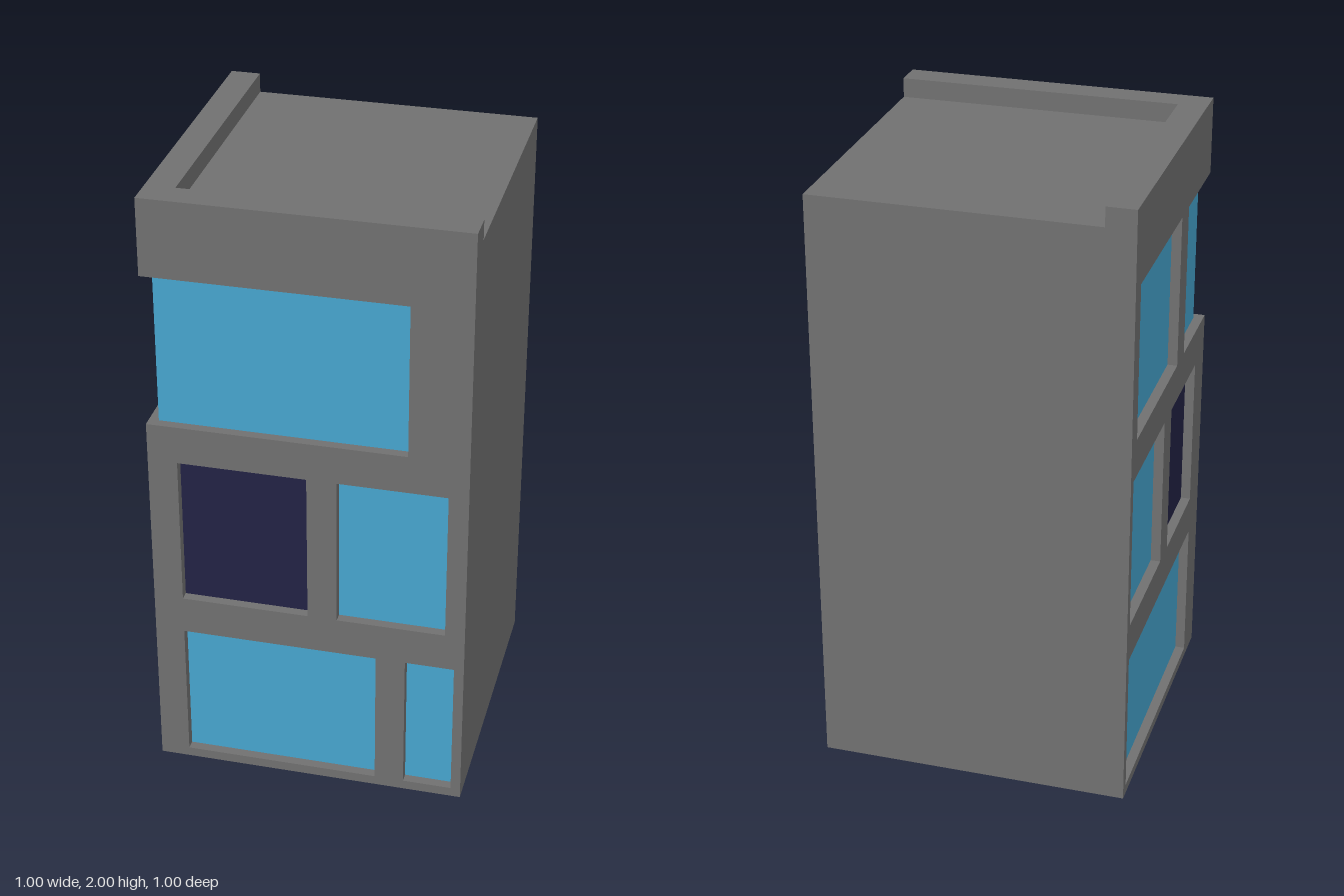
import * as THREE from 'three';

const U = 1 / 32;             // design module
const SKIN = 0.035;           // facade thickness
const INNER = 0.5 - SKIN;     // plane where facade meets the core
const PANE = SKIN - U;        // glass thickness
const ROOF = 62 * U;

const concrete = new THREE.MeshStandardMaterial({ color: 0x707070 });
concrete.name = 'concrete grey';
const blueGlass = new THREE.MeshStandardMaterial({ color: 0x46a4ce });
blueGlass.name = 'blue glass';
const darkGlass = new THREE.MeshStandardMaterial({ color: 0x222244 });
darkGlass.name = 'dark glass';

function add(parent, name, geometry, material) {
  const mesh = new THREE.Mesh(geometry, material);
  mesh.name = name;
  parent.add(mesh);
  return mesh;
}

// box from minimum and maximum corners
function boxBetween(x0, x1, y0, y1, z0, z1) {
  return new THREE.BoxGeometry(x1 - x0, y1 - y0, z1 - z0)
    .translate((x0 + x1) / 2, (y0 + y1) / 2, (z0 + z1) / 2);
}

const polygon = (points) => points.map(([x, y]) => new THREE.Vector2(x, y));

// facade slab facing +z with window holes and recessed panes
// window: [left, right, bottom, top, material, open corner?]
function facade(name, outline, windows) {
  const group = new THREE.Group();
  group.name = name;
  const shape = new THREE.Shape(polygon(outline));
  for (const [l, r, b, t, material, corner] of windows) {
    if (!corner) shape.holes.push(new THREE.Path(polygon([[l, b], [l, t], [r, t], [r, b]])));
    add(group, 'windowPane', boxBetween(l, r, b, t, INNER, INNER + PANE), material);
  }
  const wall = new THREE.ExtrudeGeometry(shape, { depth: SKIN, bevelEnabled: false });
  add(group, name + 'Wall', wall.translate(0, 0, INNER), concrete);
  return group;
}

export function createModel() {
  const model = new THREE.Group();
  model.name = 'building';

  // solid core with flat roof
  add(model, 'core', boxBetween(-INNER, 0.5, 0, ROOF, -0.5, INNER), concrete);

  // front facade, notched on its left edge for the corner window
  model.add(facade('frontFacade', [
    [-0.5, 0], [0.5, 0], [0.5, ROOF], [-0.5, ROOF],
    [-0.5, 1.75], [10 * U, 1.75], [10 * U, 1.25], [-0.5, 1.25],
  ], [
    [-15 * U, 10 * U, 1.25, 1.75, blueGlass, true],
    [-13 * U, 0, 0.625, 1.125, darkGlass],
    [3 * U, 14 * U, 0.625, 1.125, blueGlass],
    [-13 * U, 7 * U, U, 0.5, blueGlass],
    [10 * U, 15 * U, U, 0.5, blueGlass],
  ]));

  // side facade, turned to face -x, notched where it meets the front
  const side = facade('sideFacade', [
    [-0.5, 0], [INNER, 0], [INNER, 1.25], [6 * U, 1.25],
    [6 * U, 1.75], [INNER, 1.75], [INNER, ROOF], [-0.5, ROOF],
  ], [
    [6 * U, INNER, 1.25, 1.75, blueGlass, true],
    [-14 * U, 3 * U, 1.25, 1.75, blueGlass],
    [-15 * U, -2 * U, 0.625, 1.125, blueGlass],
    [U, 12 * U, 0.625, 1.125, darkGlass],
    [-15 * U, 12 * U, U, 0.5, blueGlass],
  ]);
  side.rotation.y = -Math.PI / 2;
  model.add(side);

  // L-shaped parapet along the front and side edges
  const p = 13 * U;
  const parapetShape = new THREE.Shape(polygon([
    [-0.5, -0.5], [0.5, -0.5], [0.5, -p], [-p, -p], [-p, 0.5], [-0.5, 0.5],
  ]));
  const parapet = new THREE.ExtrudeGeometry(parapetShape, { depth: 2 - ROOF, bevelEnabled: false });
  add(model, 'parapet', parapet.rotateX(-Math.PI / 2).translate(0, ROOF, 0), concrete);

  return model;
}
